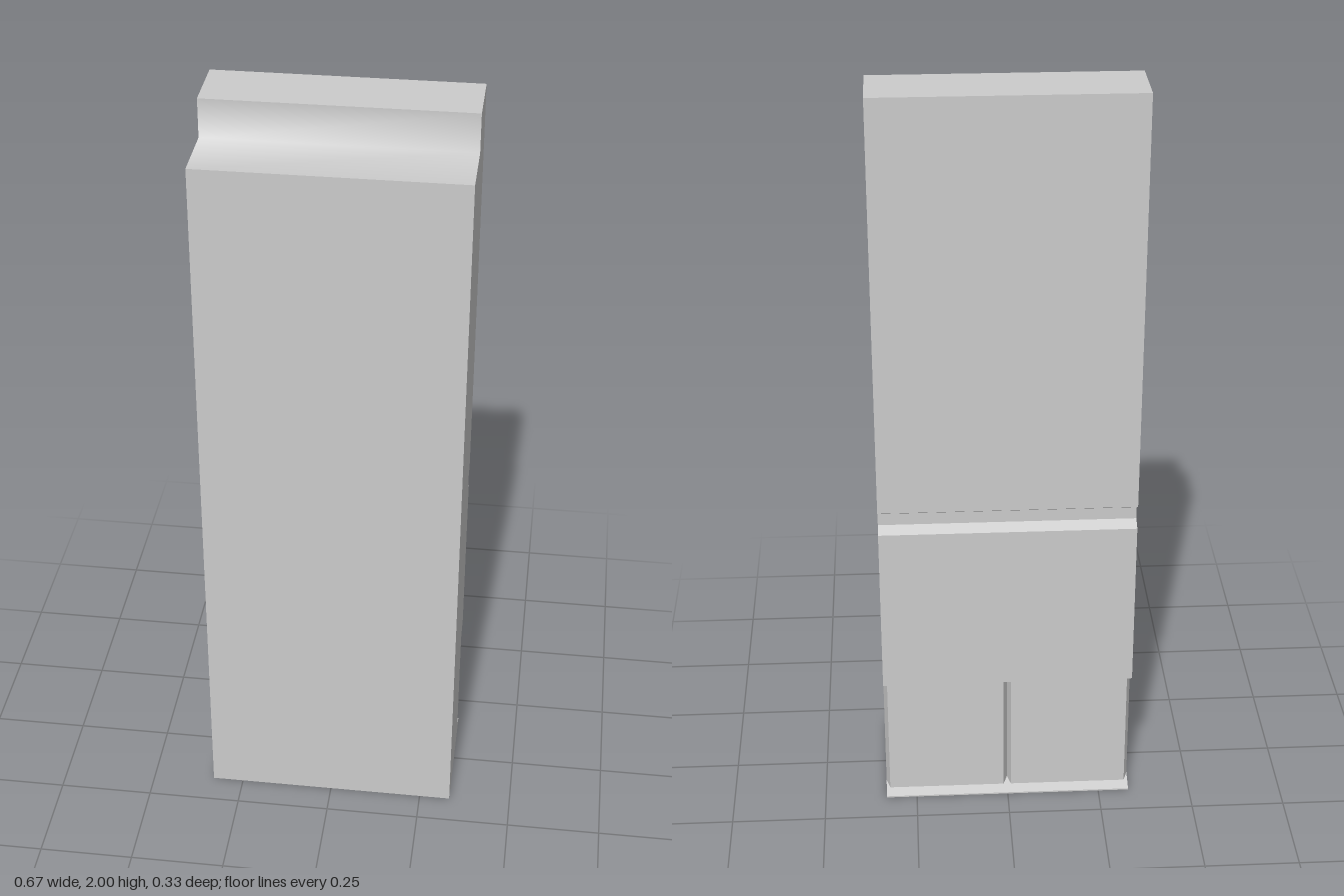
import * as THREE from 'three';

const W = 0.333, D = 0.167, PANEL = 0.027, GROOVE = 0.05, BEVEL = 0.01;
const material = new THREE.MeshStandardMaterial({ color: 0xcccccc, side: THREE.DoubleSide });

// stations across the width: [x, recess depth]; V grooves at the middle and both ends
const stations = [
  [-W, GROOVE], [-W + BEVEL, PANEL], [-BEVEL, PANEL], [0, GROOVE],
  [BEVEL, PANEL], [W - BEVEL, PANEL], [W, GROOVE],
];
const ends = [stations[0], stations[6]];

// profiles as [z, y] points
const front = () => [[D, 0], [D, 1.9]];
const step = () => [[D, 1.9], [0, 1.9], [0, 2]];
const top = () => [[0, 2], [-D, 2]];
const upperBack = () => [
  [-D, 2], [-D, 0.902], [-D + 0.028, 0.885], [-D + 0.028, 0.852], [-D, 0.837], [-D, 0.372],
];
const lowerBack = (depth) => [
  [-D, 0.372], [-D + depth, 0.372 - depth * 0.5],
  [-D + depth, 0.004 + depth * 0.35], [-D, 0.004], [-D, 0],
];

// sweep a profile through the given stations
function sweep(name, profile, across, smooth = false) {
  const positions = [], index = [];
  const n = profile(0).length;
  across.forEach(([x, depth]) => profile(depth).forEach(([z, y]) => positions.push(x, y, z)));
  for (let i = 0; i < across.length - 1; i++) {
    for (let j = 0; j < n - 1; j++) {
      const a = i * n + j, b = a + n;
      index.push(a, b, b + 1, a, b + 1, a + 1);
    }
  }
  let geometry = new THREE.BufferGeometry();
  geometry.setAttribute('position', new THREE.Float32BufferAttribute(positions, 3));
  geometry.setIndex(index);
  if (!smooth) geometry = geometry.toNonIndexed();
  geometry.computeVertexNormals();
  const mesh = new THREE.Mesh(geometry, material);
  mesh.name = name;
  return mesh;
}

// flat end wall following the complete outline
function sideWall(name, side) {
  const outline = [
    ...front(), ...step().slice(1), ...top().slice(1),
    ...upperBack().slice(1), ...lowerBack(GROOVE).slice(1),
  ];
  const shape = new THREE.Shape(outline.map(([z, y]) => new THREE.Vector2(-side * z, y)));
  const geometry = new THREE.ShapeGeometry(shape);
  geometry.rotateY(side * Math.PI / 2);
  geometry.translate(side * W, 0, 0);
  const mesh = new THREE.Mesh(geometry, material);
  mesh.name = name;
  return mesh;
}

export function createModel() {
  const model = new THREE.Group();
  model.name = 'wallBlock';
  // the shell is open underneath
  model.add(
    sweep('frontWall', front, ends),
    sweep('topStep', step, ends, true),
    sweep('topFace', top, ends),
    sweep('groovedBackWall', upperBack, ends),
    sweep('recessedBackPanels', lowerBack, stations),
    sideWall('leftWall', 1),
    sideWall('rightWall', -1),
  );
  return model;
}
